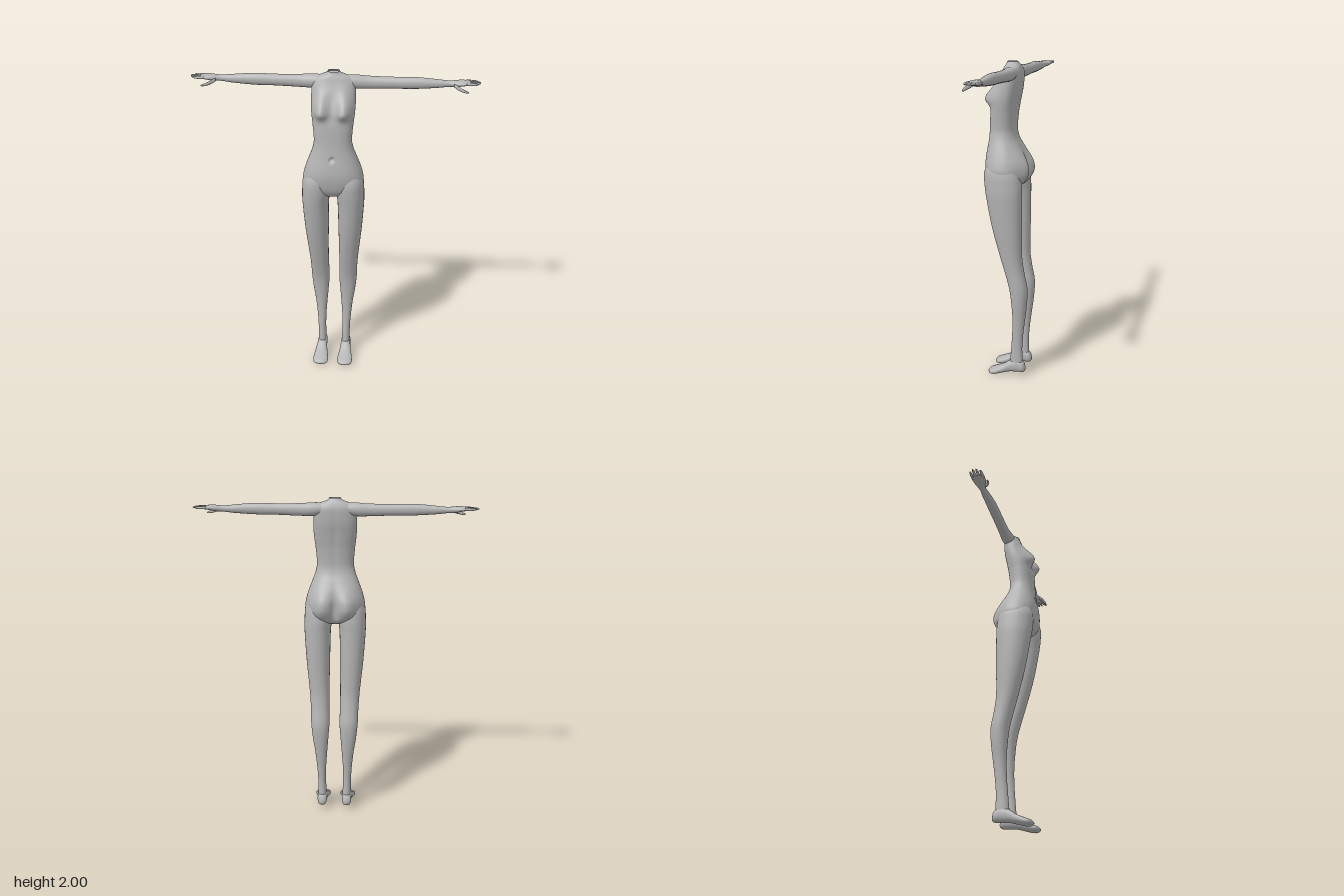
import * as THREE from 'three';

const grey = new THREE.MeshStandardMaterial({ color: 0xb4b4b4, side: THREE.DoubleSide });
grey.name = 'plain grey';

// Smooth value of every column of the section table at position t
function sample(rows, t) {
  let k = 0;
  while (k < rows.length - 2 && t > rows[k + 1][0]) k++;
  const a = rows[k], b = rows[k + 1];
  const p = rows[Math.max(k - 1, 0)], q = rows[Math.min(k + 2, rows.length - 1)];
  const h = b[0] - a[0], f = (t - a[0]) / h;
  return [1, 2, 3, 4].map((c) => {
    const ma = ((b[c] - p[c]) / (b[0] - p[0])) * h;
    const mb = ((q[c] - a[c]) / (q[0] - a[0])) * h;
    return (2 * f ** 3 - 3 * f ** 2 + 1) * a[c] + (f ** 3 - 2 * f ** 2 + f) * ma
      + (3 * f ** 2 - 2 * f ** 3) * b[c] + (f ** 3 - f ** 2) * mb;
  });
}

// Rounded sections along an axis; each row is [position, uMin, uMax, vMin, vMax]
function loft(rows, { axis = 'y', rings = 40, segs = 32, power = 2.2, mirror = 1, capEnd = true, shape = null }) {
  const pos = [], index = [];
  const place = (t, u, v) => {
    const p = axis === 'y' ? new THREE.Vector3(u, t, v)
      : axis === 'x' ? new THREE.Vector3(t, u, v) : new THREE.Vector3(u, v, t);
    if (shape) shape(p);
    pos.push(p.x * mirror, p.y, p.z);
  };
  const flip = (axis !== 'y') !== (mirror < 0);
  const tri = (a, b, c) => (flip ? index.push(a, c, b) : index.push(a, b, c));
  const t0 = rows[0][0], t1 = rows[rows.length - 1][0];
  const bend = (n) => Math.sign(n) * Math.abs(n) ** (2 / power);
  for (let i = 0; i <= rings; i++) {
    const t = t0 + ((t1 - t0) * i) / rings;
    const [u0, u1, v0, v1] = sample(rows, t);
    for (let j = 0; j < segs; j++) {
      const a = (j / segs) * Math.PI * 2;
      place(t, (u0 + u1) / 2 + ((u1 - u0) / 2) * bend(Math.cos(a)),
        (v0 + v1) / 2 + ((v1 - v0) / 2) * bend(Math.sin(a)));
    }
  }
  for (let i = 0; i < rings; i++) {
    for (let j = 0; j < segs; j++) {
      const a = i * segs + j, b = i * segs + ((j + 1) % segs);
      tri(a, a + segs, b);
      tri(b, a + segs, b + segs);
    }
  }
  // End caps
  const mid = (r) => [r[0], (r[1] + r[2]) / 2, (r[3] + r[4]) / 2];
  const s = pos.length / 3, last = rings * segs;
  place(...mid(rows[0]));
  if (capEnd) place(...mid(rows[rows.length - 1]));
  for (let j = 0; j < segs; j++) {
    const n = (j + 1) % segs;
    tri(s, j, n);
    if (capEnd) tri(s + 1, last + n, last + j);
  }
  const geo = new THREE.BufferGeometry();
  geo.setAttribute('position', new THREE.Float32BufferAttribute(pos, 3));
  geo.setIndex(index);
  geo.computeVertexNormals();
  return geo;
}

const bell = (d, s) => Math.exp(-((d / s) ** 2));

// Soft swellings and hollows of the torso
function shapeTorso(p) {
  const x = Math.abs(p.x), y = p.y;
  if (p.z > 0.02) {
    const f = Math.min(1, (p.z - 0.02) / 0.04);
    const dy = y - 1.785;
    p.z += f * 0.052 * bell(x - 0.068, 0.042) * bell(dy, dy > 0 ? 0.085 : 0.04);
    p.z -= f * 0.02 * bell(x, 0.009) * bell(y - 1.505, 0.014);
  } else if (p.z < -0.02) {
    const f = Math.min(1, (-0.02 - p.z) / 0.04);
    const dy = y - 1.345;
    p.z -= f * 0.042 * bell(x - 0.078, 0.06) * bell(dy, dy > 0 ? 0.1 : 0.075);
    p.z += f * 0.022 * bell(x, 0.016) * bell(y - 1.34, 0.09);
    p.z += f * 0.006 * bell(x, 0.02) * bell(y - 1.72, 0.15);
  }
}

// [y, half width, back z, front z]
const torso = [
  [1.235, 0.025, -0.03, 0.05], [1.25, 0.07, -0.065, 0.085], [1.27, 0.12, -0.085, 0.107],
  [1.3, 0.165, -0.093, 0.125], [1.35, 0.182, -0.098, 0.138], [1.4, 0.174, -0.1, 0.143],
  [1.45, 0.158, -0.088, 0.139], [1.5, 0.139, -0.067, 0.131], [1.55, 0.121, -0.045, 0.124],
  [1.6, 0.112, -0.036, 0.12], [1.7, 0.119, -0.043, 0.115], [1.75, 0.125, -0.051, 0.105],
  [1.8, 0.129, -0.06, 0.09], [1.85, 0.129, -0.069, 0.072], [1.9, 0.127, -0.073, 0.055],
  [1.94, 0.121, -0.073, 0.04], [1.965, 0.1, -0.066, 0.032], [1.978, 0.066, -0.06, 0.027],
  [1.988, 0.042, -0.053, 0.022], [2.0, 0.034, -0.046, 0.02],
].map(([y, w, b, f]) => [y, -w, w, b, f]);

// [y, inner x, outer x, back z, front z]
const leg = [
  [0.055, 0.053, 0.106, -0.106, -0.022], [0.1, 0.052, 0.106, -0.104, -0.022],
  [0.2, 0.056, 0.106, -0.101, -0.03], [0.3, 0.054, 0.112, -0.108, -0.037],
  [0.4, 0.047, 0.122, -0.12, -0.039], [0.5, 0.039, 0.137, -0.131, -0.034],
  [0.6, 0.032, 0.147, -0.134, -0.022], [0.7, 0.034, 0.15, -0.115, 0.003],
  [0.8, 0.034, 0.157, -0.101, 0.032], [1.0, 0.031, 0.177, -0.1, 0.084],
  [1.2, 0.026, 0.19, -0.1, 0.121], [1.27, 0.016, 0.189, -0.099, 0.131],
  [1.35, 0.02, 0.182, -0.085, 0.132], [1.43, 0.03, 0.15, -0.05, 0.1],
];

// [z, inner x, outer x, sole y, top y]
const foot = [
  [-0.121, 0.068, 0.092, 0.045, 0.07], [-0.112, 0.053, 0.106, 0.036, 0.098],
  [-0.07, 0.048, 0.11, 0.032, 0.118], [-0.02, 0.046, 0.114, 0.028, 0.104],
  [0.02, 0.04, 0.122, 0.018, 0.076], [0.06, 0.033, 0.129, 0.007, 0.056],
  [0.09, 0.032, 0.13, 0.002, 0.043], [0.11, 0.042, 0.12, 0.006, 0.035],
  [0.12, 0.06, 0.1, 0.012, 0.026],
];

// [x, bottom y, top y, back z, front z]
const arm = [
  [0.06, 1.905, 1.972, -0.062, 0.02], [0.13, 1.894, 1.973, -0.068, 0.012],
  [0.2, 1.895, 1.968, -0.063, 0.003], [0.35, 1.9, 1.966, -0.059, 0.002],
  [0.42, 1.9, 1.968, -0.058, 0.002], [0.5, 1.903, 1.966, -0.057, 0],
  [0.6, 1.91, 1.957, -0.055, -0.008], [0.66, 1.917, 1.952, -0.053, -0.014],
  [0.7, 1.918, 1.955, -0.062, 0], [0.73, 1.924, 1.956, -0.07, 0.007],
  [0.765, 1.931, 1.952, -0.072, 0.008], [0.78, 1.936, 1.948, -0.068, 0.003],
];
const thumb = [
  [0.685, 1.922, 1.942, -0.015, 0.005], [0.71, 1.909, 1.931, 0.002, 0.02],
  [0.735, 1.902, 1.92, 0.015, 0.03], [0.76, 1.898, 1.91, 0.021, 0.031],
  [0.768, 1.9, 1.906, 0.024, 0.029],
];
const fingers = [[-0.064, 0.822], [-0.043, 0.838], [-0.022, 0.835], [-0.001, 0.82]];

export function createModel() {
  const model = new THREE.Group();
  model.name = 'bodyForm';
  const add = (name, geo, parent = model) => {
    const mesh = new THREE.Mesh(geo, grey);
    mesh.name = name;
    parent.add(mesh);
    return mesh;
  };

  add('torso', loft(torso, { rings: 110, segs: 96, power: 2.4, capEnd: false, shape: shapeTorso }));

  // Sunken floor of the neck opening
  const neck = add('neckOpening', new THREE.CircleGeometry(0.036, 24));
  neck.rotation.x = -Math.PI / 2;
  neck.position.set(0, 1.99, -0.014);

  for (const [side, mirror] of [['left', 1], ['right', -1]]) {
    add(side + 'Leg', loft(leg, { rings: 60, mirror, power: 2.2 }));
    add(side + 'Foot', loft(foot, { axis: 'z', rings: 28, mirror, power: 2.3 }));
    add(side + 'Arm', loft(arm, { axis: 'x', rings: 60, segs: 24, mirror, power: 2.1 }));

    const hand = new THREE.Group();
    hand.name = side + 'Fingers';
    model.add(hand);
    add('thumb', loft(thumb, { axis: 'x', rings: 14, segs: 12, mirror }), hand);
    for (const [z, tip] of fingers) {
      const rows = [[0.755, 0.009], [0.79, 0.008], [tip - 0.01, 0.006], [tip, 0.002]]
        .map(([x, r]) => [x, 1.942 - r, 1.942 + r, z - r, z + r]);
      add('finger', loft(rows, { axis: 'x', rings: 12, segs: 12, mirror }), hand);
    }
  }
  return model;
}
